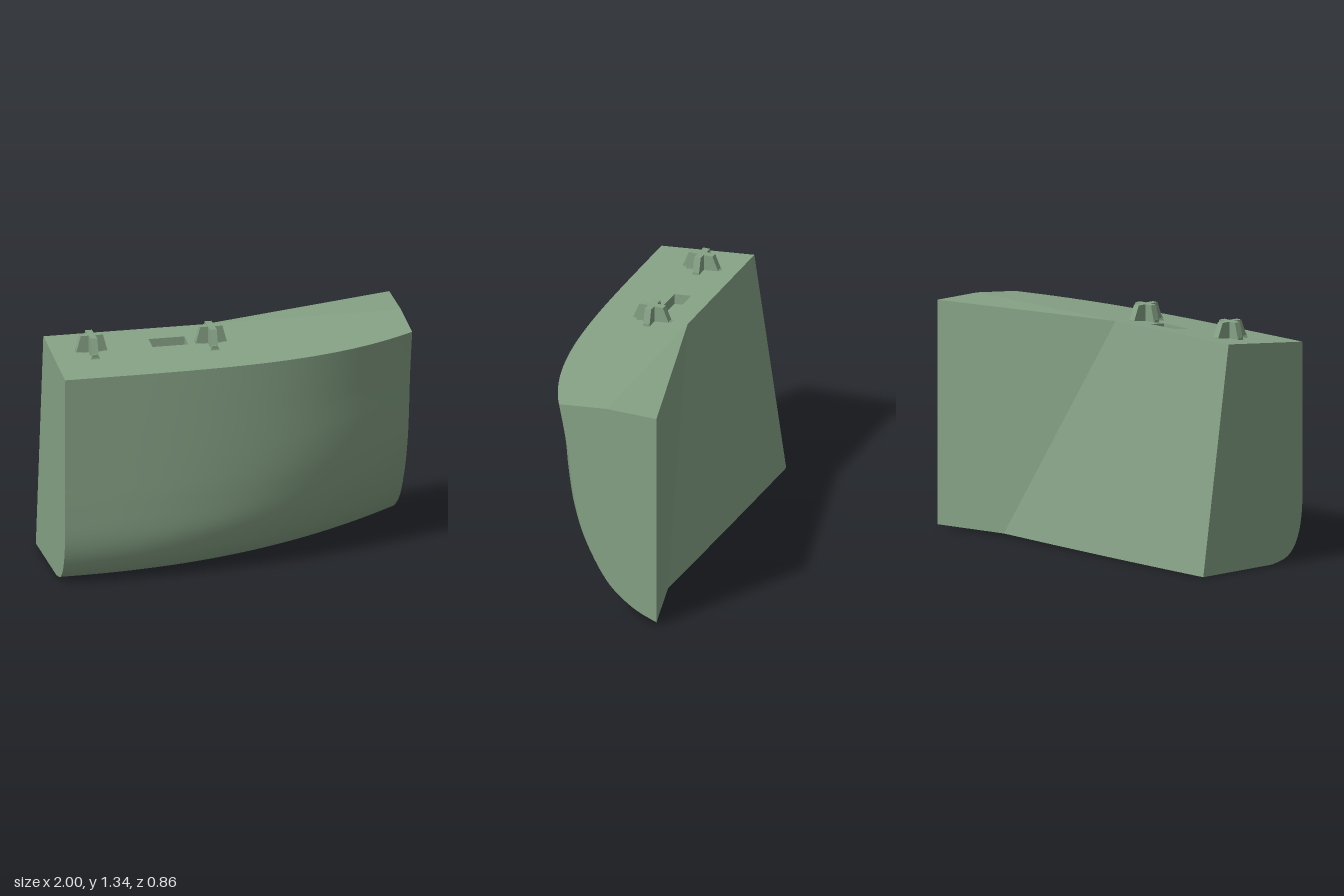
import * as THREE from 'three';

const green = new THREE.MeshStandardMaterial({ color: 0x86a286 });
const greenInside = new THREE.MeshStandardMaterial({ color: 0x86a286, side: THREE.BackSide });
const V2 = (a) => a.map(([x, y]) => new THREE.Vector2(x, y));

// Deck slopes gently up from the front edge, then runs level
const deckY = (z) => Math.min(1.27, 1.21 + (0.425 - z) * 0.108);

// Outer skin profiles (z, y) at the square end and at the tapered end, deck to keel
const N = 40;
const profile = (pts) => new THREE.SplineCurve(V2(pts)).getPoints(N);
const fullEnd = profile([[0.425, 1.21], [0.425, 0.95], [0.425, 0.65], [0.425, 0.45], [0.418, 0.25], [0.38, 0.11], [0.31, 0.03], [0.2, 0]]);
const taperEnd = profile([[0.152, 1.24], [0.1, 0.98], [0.078, 0.8], [0.045, 0.6], [-0.025, 0.4], [-0.145, 0.2], [-0.29, 0.08], [-0.43, 0.02]]);

function skinAt(x) {
  return fullEnd.map((p, j) => {
    const t = Math.pow((x + 1) / 2, 4 - (2 * j) / N);
    return p.clone().lerp(taperEnd[j], t);
  });
}

// Back wall: sloping plane that meets an upright angled plane along a crease
function backAt(x) {
  const keelY = skinAt(x)[N].y;
  const upright = -0.13 - (0.3 * (x + 0.1)) / 1.1;
  const slope = (y) => -0.13 - 0.19 * (1 - y / 1.27);
  const creaseY = THREE.MathUtils.clamp(1.27 * (1 - (-0.13 - upright) / 0.19), keelY, 1.27);
  const at = (y) => new THREE.Vector2(Math.min(slope(y), upright), y);
  return { bottom: at(keelY), crease: at(creaseY), top: at(1.27) };
}

// Stations along the length, including the crease ends
const stations = [];
for (let i = 0; i <= 18; i++) stations.push(-1 + i * 0.05);
for (let i = 1; i <= 14; i++) stations.push(-0.1 + (i * 0.6867) / 14);
for (let i = 1; i <= 10; i++) stations.push(0.5867 + (i * 0.4133) / 10);

// Surface lofted through one row of (z, y) points per station
function loft(rowAt) {
  const pos = [], idx = [];
  let n = 0;
  stations.forEach((x, i) => {
    const row = rowAt(x);
    n = row.length;
    row.forEach((p) => pos.push(x, p.y, p.x));
    if (i === 0) return;
    for (let j = 0; j < n - 1; j++) {
      const a = (i - 1) * n + j, b = i * n + j;
      idx.push(a, a + 1, b, b, a + 1, b + 1);
    }
  });
  const g = new THREE.BufferGeometry();
  g.setAttribute('position', new THREE.Float32BufferAttribute(pos, 3));
  g.setIndex(idx);
  g.computeVertexNormals();
  return g;
}

// Flat outline (x, z) laid onto the deck slope
function deckGeometry(outline, hole) {
  const flip = (a) => V2(a.map(([x, z]) => [x, -z]));
  const shape = new THREE.Shape(flip(outline));
  if (hole) shape.holes.push(new THREE.Path(flip(hole)));
  const g = new THREE.ShapeGeometry(shape).rotateX(-Math.PI / 2);
  const p = g.attributes.position;
  for (let i = 0; i < p.count; i++) p.setY(i, deckY(p.getZ(i)));
  g.computeVertexNormals();
  return g;
}

// End wall closing the section at x = -1 or x = 1
function endGeometry(x) {
  const b = backAt(x);
  const loop = [...skinAt(x), b.bottom, b.top, new THREE.Vector2(-0.13, 1.27)]
    .filter((p, i, a) => i === 0 || p.distanceTo(a[i - 1]) > 1e-3);
  const shape = new THREE.Shape(loop.map((p) => new THREE.Vector2(-x * p.x, p.y)));
  return new THREE.ShapeGeometry(shape).rotateY((x * Math.PI) / 2).translate(x, 0, 0);
}

function plate(pts, depth) {
  return new THREE.ExtrudeGeometry(new THREE.Shape(V2(pts)), { depth, bevelEnabled: false })
    .translate(0, 0, -depth / 2);
}

// Cross-shaped post: two tapered plates with a small flared foot at each tip
function createPost(x) {
  const post = new THREE.Group();
  post.name = 'deckPost';
  const add = (name, geo, turn) => {
    const m = new THREE.Mesh(geo, green);
    m.name = name;
    m.rotation.y = turn;
    post.add(m);
  };
  [[0.062, 0.092, 0], [0.07, 0.117, Math.PI / 2]].forEach(([top, base, turn]) => {
    add('postPlate', plate([[-base, -0.02], [base, -0.02], [top, 0.094], [-top, 0.094]], 0.038), turn);
    for (const side of [0, Math.PI]) {
      const foot = plate([[-0.03, -0.02], [0.03, -0.02], [0.014, 0.014], [-0.014, 0.014]], 0.025);
      foot.rotateY(Math.PI / 2).translate(base - 0.018, 0, 0);
      add('postFoot', foot, turn + side);
    }
  });
  post.position.set(x, deckY(0.085), 0.085);
  return post;
}

export function createModel() {
  const model = new THREE.Group();
  const add = (name, geo, mat = green) => {
    const m = new THREE.Mesh(geo, mat);
    m.name = name;
    model.add(m);
  };

  // Hull skin, underside and back walls
  add('curvedSkin', loft(skinAt));
  add('underside', loft((x) => [skinAt(x)[N], backAt(x).bottom]));
  add('backWallUpright', loft((x) => [backAt(x).bottom, backAt(x).crease]));
  add('backWallSloping', loft((x) => [backAt(x).crease, backAt(x).top]));
  add('squareEnd', endGeometry(-1));
  add('taperedEnd', endGeometry(1));

  // Deck with a rectangular opening
  const frontEdge = stations.map((x) => [x, skinAt(x)[0].x]);
  const hole = [[-0.44, 0], [-0.24, 0], [-0.24, 0.1], [-0.44, 0.1]];
  add('slopingDeck', deckGeometry([...frontEdge, [1, -0.13], [-1, -0.13]], hole));
  add('levelDeck', deckGeometry([[-0.1, -0.13], [1, -0.13], [1, -0.43]]));

  // Recess below the opening
  const recess = new THREE.BoxGeometry(0.2, 0.1, 0.1).translate(-0.34, 0, 0.05);
  const p = recess.attributes.position;
  for (let i = 0; i < p.count; i++) p.setY(i, deckY(p.getZ(i)) - (p.getY(i) > 0 ? 0 : 0.06));
  recess.computeVertexNormals();
  add('deckRecess', recess, greenInside);

  for (const x of [-0.78, -0.112]) model.add(createPost(x));
  return model;
}
